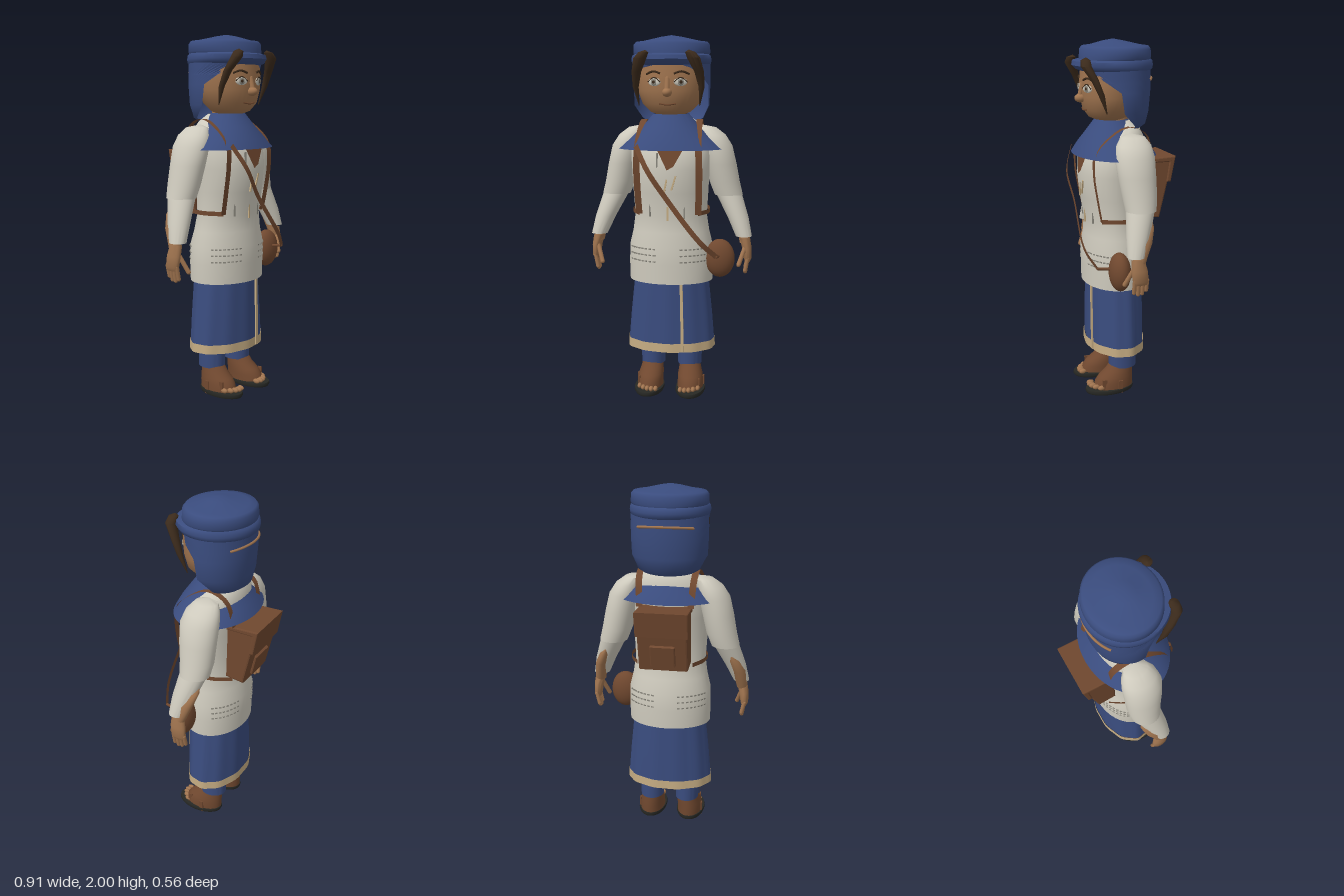
import * as THREE from 'three';
import { toCreasedNormals, mergeGeometries } from 'three/addons/utils/BufferGeometryUtils.js';

const mat = (name, color, side = THREE.FrontSide) => {
  const m = new THREE.MeshStandardMaterial({ color, side });
  m.name = name;
  return m;
};

// Surface through horizontal oval rings, bottom to top: [y, centreX, radiusX, zBack, zFront, frontGap?]
function loft(rings, { n = 36, side = 1, ripple = 0 } = {}) {
  const pos = [], idx = [], row = n + 1;
  rings.forEach(([y, cx, rx, zb, zf, gap = 0], i) => {
    for (let j = 0; j <= n; j++) {
      const t = gap + (j / n) * 2 * (Math.PI - gap);
      const k = 1 + ripple * Math.cos(t * 11);
      pos.push(cx * side + rx * k * Math.sin(t), y, (zf + zb) / 2 + (zf - zb) / 2 * k * Math.cos(t));
      if (i && j) {
        const a = (i - 1) * row + j - 1, d = i * row + j - 1;
        idx.push(a, a + 1, d + 1, a, d + 1, d);
      }
    }
  });
  const g = new THREE.BufferGeometry();
  g.setAttribute('position', new THREE.Float32BufferAttribute(pos, 3));
  g.setIndex(idx);
  return toCreasedNormals(g, 0.9);
}

// Flat strap along a curve; w is half of its width as a vector
function ribbon(points, w, n = 24) {
  const curve = new THREE.CatmullRomCurve3(points.map(p => new THREE.Vector3(...p)));
  const pos = [], idx = [];
  curve.getPoints(n).forEach((p, i) => {
    pos.push(p.x - w[0], p.y - w[1], p.z - w[2], p.x + w[0], p.y + w[1], p.z + w[2]);
    if (i) idx.push(2 * i - 2, 2 * i - 1, 2 * i + 1, 2 * i - 2, 2 * i + 1, 2 * i);
  });
  const g = new THREE.BufferGeometry();
  g.setAttribute('position', new THREE.Float32BufferAttribute(pos, 3));
  g.setIndex(idx);
  g.computeVertexNormals();
  return g;
}

function tube(points, r) {
  return new THREE.TubeGeometry(new THREE.CatmullRomCurve3(points.map(p => new THREE.Vector3(...p))), 20, r, 6);
}

// Capsule between two points
function rod(a, b, r) {
  const A = new THREE.Vector3(...a), d = new THREE.Vector3(...b).sub(A);
  const g = new THREE.CapsuleGeometry(r, d.length(), 4, 10);
  g.applyQuaternion(new THREE.Quaternion().setFromUnitVectors(new THREE.Vector3(0, 1, 0), d.clone().normalize()));
  return g.translate(...A.addScaledVector(d, 0.5).toArray());
}

function ball(x, y, z, rx, ry, rz) {
  return new THREE.SphereGeometry(1, 24, 16).scale(rx, ry, rz).translate(x, y, z);
}

// Side profile of [distance behind, height], extruded across the width
function slab(profile, width, bevel) {
  const g = new THREE.ExtrudeGeometry(new THREE.Shape(profile.map(p => new THREE.Vector2(...p))), {
    depth: width - 2 * bevel, bevelSize: bevel, bevelThickness: bevel, bevelSegments: 2,
  });
  return g.translate(0, 0, bevel - width / 2).rotateY(Math.PI / 2);
}

export function createModel() {
  const root = new THREE.Group();
  const D = THREE.DoubleSide;
  const blue = mat('blue cloth', 0x3a4c7e, D), cream = mat('cream cloth', 0xcecabd, D);
  const brown = mat('brown leather', 0x70482f, D), tan = mat('tan trim', 0xc4ab82, D);
  const skin = mat('skin', 0xa0744f), hair = mat('dark brown hair', 0x3b2a1b);
  const black = mat('black sole', 0x272824), grey = mat('grey stitching', 0x8b887e);
  const add = (name, geo, m, parent = root) => {
    const mesh = new THREE.Mesh(geo, m);
    mesh.name = name;
    parent.add(mesh);
    return mesh;
  };

  // Skirt with hem and front slit trim
  add('skirt', loft([[0.295, 0, 0.245, -0.123, 0.197], [0.45, 0, 0.232, -0.122, 0.195], [0.68, 0, 0.208, -0.118, 0.192]],
    { n: 88, ripple: 0.012 }), blue);
  add('skirtHem', loft([[0.25, 0, 0.25, -0.128, 0.202], [0.3, 0, 0.248, -0.127, 0.201]], { n: 88, ripple: 0.012 }), tan);
  add('slitTrim', new THREE.BoxGeometry(0.016, 0.39, 0.009).rotateZ(0.02).translate(0.078, 0.45, 0.196), tan);

  // Tunic
  add('tunic', loft([[0.645, 0, 0.19, -0.1, 0.18], [0.645, 0, 0.235, -0.137, 0.215], [0.75, 0, 0.238, -0.14, 0.216],
    [0.85, 0, 0.234, -0.138, 0.218], [0.93, 0, 0.215, -0.115, 0.203], [1.02, 0, 0.202, -0.097, 0.198],
    [1.15, 0, 0.21, -0.1, 0.22], [1.28, 0, 0.217, -0.11, 0.235], [1.4, 0, 0.228, -0.125, 0.215],
    [1.48, 0, 0.205, -0.125, 0.15], [1.53, 0, 0.145, -0.105, 0.09], [1.57, 0, 0.085, -0.07, 0.07]]), cream);
  const dots = [];
  for (const y of [0.77, 0.805, 0.84])
    for (const mid of [0, Math.PI])
      for (const s of [-1, 1])
        for (let k = 0; k < 8; k++) {
          const t = mid + s * (0.32 + k * 0.11);
          dots.push(new THREE.BoxGeometry(0.014, 0.007, 0.006).rotateY(t)
            .translate(0.237 * Math.sin(t), y, 0.039 + 0.178 * Math.cos(t)));
        }
  add('tunicStitching', mergeGeometries(dots), grey);
  const neckline = add('neckline', new THREE.ShapeGeometry(new THREE.Shape([
    new THREE.Vector2(-0.06, 0.12), new THREE.Vector2(0, 0), new THREE.Vector2(0.035, 0.02), new THREE.Vector2(0.09, 0.12)])), brown);
  neckline.position.set(0, 1.28, 0.241);
  neckline.rotation.x = -0.17;
  for (const [x, y, z, tilt, m] of [[0.035, 1.21, 0.227, -0.3, tan], [0, 1.04, 0.203, 0, tan], [-0.01, 1.19, 0.226, -0.2, tan],
    [-0.055, 1.33, 0.222, 0, grey], [0.09, 1.05, 0.186, 0, grey], [-0.1, 1.06, 0.184, 0, grey]])
    add('tunicPin', new THREE.BoxGeometry(0.009, 0.08, 0.009).rotateZ(tilt).translate(x, y, z), m);

  // Shoulder cape
  add('cape', loft([[1.385, 0, 0.3, -0.19, 0.26], [1.44, 0, 0.235, -0.155, 0.232], [1.5, 0, 0.165, -0.105, 0.19],
    [1.575, 0, 0.1, -0.04, 0.135]], { n: 48 }), blue);

  // Head and face
  add('neck', loft([[1.48, 0, 0.07, -0.05, 0.09], [1.63, 0, 0.07, -0.05, 0.1]]), skin);
  add('head', loft([[1.56, 0, 0, 0.06, 0.06], [1.567, 0, 0.06, 0, 0.12], [1.587, 0, 0.11, -0.04, 0.17],
    [1.63, 0, 0.155, -0.08, 0.202], [1.7, 0, 0.18, -0.1, 0.215], [1.78, 0, 0.185, -0.1, 0.217], [1.9, 0, 0.175, -0.1, 0.205]]), skin);
  add('nose', ball(0, 1.692, 0.22, 0.026, 0.024, 0.034), skin);
  add('noseBridge', rod([0, 1.70, 0.225], [0, 1.765, 0.208], 0.014), skin);
  add('mouth', tube([[-0.045, 1.633, 0.197], [0, 1.627, 0.205], [0.045, 1.633, 0.197]], 0.004), brown);

  // Hood and cap
  add('hood', loft([[1.52, 0, 0.13, -0.1, 0.1, 2.0], [1.55, 0, 0.175, -0.14, 0.15, 1.8], [1.62, 0, 0.208, -0.155, 0.19, 1.42],
    [1.73, 0, 0.213, -0.165, 0.2, 1.33], [1.78, 0, 0.214, -0.165, 0.205, 0.95], [1.84, 0, 0.214, -0.165, 0.215, 0.35],
    [1.88, 0, 0.21, -0.165, 0.215, 0.05]], { n: 40 }), blue);
  add('cap', loft([[1.835, 0, 0.2, -0.165, 0.212], [1.845, 0, 0.215, -0.177, 0.24], [1.865, 0, 0.22, -0.181, 0.26],
    [1.888, 0, 0.216, -0.177, 0.255], [1.896, 0, 0.207, -0.166, 0.218], [1.905, 0, 0.212, -0.168, 0.216], [1.948, 0, 0.21, -0.166, 0.213],
    [1.963, 0, 0.198, -0.155, 0.2], [1.968, 0, 0.16, -0.118, 0.162], [1.99, 0, 0.06, -0.02, 0.09], [2, 0, 0, 0.035, 0.035]], { n: 48 }), blue);
  const band = [];
  for (let k = -4; k <= 4; k++) {
    const t = Math.PI + k * 0.19;
    band.push([0.217 * Math.sin(t), 1.797 - 0.0006 * k * k, 0.02 + 0.189 * Math.cos(t)]);
  }
  add('hoodCord', tube(band, 0.007), skin);

  // Paired parts
  for (const s of [-1, 1]) {
    const side = s > 0 ? 'left' : 'right';
    const eye = new THREE.Group();
    eye.name = side + 'Eye';
    eye.position.set(0.07 * s, 1.747, 0.204);
    eye.rotation.y = 0.34 * s;
    root.add(eye);
    add('eyeWhite', ball(0, 0, 0, 0.037, 0.022, 0.009), cream, eye);
    add('iris', ball(0, 0, 0.006, 0.018, 0.018, 0.0045), grey, eye);
    add('pupil', ball(0, 0, 0.009, 0.009, 0.009, 0.003), hair, eye);
    add('upperLid', tube([[-0.037, 0, 0.003], [0, 0.023, 0.004], [0.037, 0, 0.003]], 0.0035), hair, eye);
    add(side + 'Eyebrow', tube([[0.035 * s, 1.79, 0.215], [0.075 * s, 1.802, 0.204], [0.115 * s, 1.788, 0.183]], 0.006), hair);
    add(side + 'HairLock', loft([[1.62, 0.165, 0.002, 0.125, 0.13], [1.72, 0.178, 0.016, 0.145, 0.178], [1.8, 0.168, 0.026, 0.175, 0.215],
      [1.87, 0.142, 0.035, 0.205, 0.262], [1.9, 0.124, 0.027, 0.205, 0.255], [1.913, 0.115, 0, 0.225, 0.225]], { n: 14, side: s }), hair);

    // Sleeves, forearm and hand
    add(side + 'UpperSleeve', loft([[1.125, 0.32, 0.066, -0.07, 0.065], [1.125, 0.32, 0.079, -0.088, 0.08], [1.2, 0.296, 0.085, -0.1, 0.09],
      [1.3, 0.275, 0.087, -0.103, 0.105], [1.4, 0.25, 0.088, -0.105, 0.113], [1.46, 0.224, 0.075, -0.095, 0.095],
      [1.5, 0.195, 0.05, -0.07, 0.06], [1.515, 0.17, 0, 0, 0]], { side: s }), cream);
    add(side + 'LowerSleeve', loft([[0.9, 0.41, 0.045, 0.01, 0.105], [1.0, 0.377, 0.058, -0.03, 0.098], [1.135, 0.32, 0.073, -0.08, 0.078]],
      { side: s }), cream);
    add(side + 'Forearm', loft([[0.86, 0.417, 0.03, 0.01, 0.08], [0.97, 0.4, 0.035, -0.036, 0.06], [1.04, 0.372, 0.03, -0.058, 0.03],
      [1.08, 0.355, 0.005, -0.055, -0.03]], { n: 20, side: s }), skin);
    add(side + 'Palm', loft([[0.75, 0.432, 0.012, 0, 0.075], [0.77, 0.433, 0.022, -0.006, 0.084], [0.83, 0.428, 0.027, 0, 0.09],
      [0.89, 0.415, 0.03, 0.015, 0.085]], { n: 20, side: s }), skin);
    [0.004, 0.027, 0.05, 0.073].forEach((z, i) =>
      add(side + 'Finger', rod([0.434 * s, 0.775, z], [0.42 * s, [0.715, 0.698, 0.695, 0.706][i], z], 0.0115), skin));
    add(side + 'Thumb', rod([0.415 * s, 0.83, 0.075], [0.385 * s, 0.745, 0.112], 0.0125), skin);

    // Leg, shoe and sandal
    add(side + 'TrouserLeg', loft([[0.14, 0.106, 0.058, -0.05, 0.085], [0.14, 0.106, 0.068, -0.06, 0.1], [0.42, 0.108, 0.073, -0.06, 0.11]],
      { side: s }), blue);
    add(side + 'Shoe', loft([[0.02, 0.116, 0.074, -0.035, 0.2], [0.06, 0.116, 0.073, -0.037, 0.19], [0.09, 0.113, 0.07, -0.037, 0.165],
      [0.12, 0.11, 0.063, -0.037, 0.125], [0.17, 0.107, 0.055, -0.035, 0.085]], { side: s }), brown);
    add(side + 'Sole', loft([[0, 0.118, 0, 0.1, 0.1], [0, 0.118, 0.08, -0.035, 0.243], [0.012, 0.118, 0.085, -0.04, 0.25],
      [0.024, 0.118, 0.083, -0.039, 0.247], [0.024, 0.118, 0, 0.1, 0.1]], { side: s }), black);
    for (let k = 0; k < 5; k++)
      add(side + 'Toe', ball((0.07 + k * 0.024) * s, 0.037, 0.212 - 0.006 * (k - 1) ** 2 * 0.8, 0.0125, 0.014, 0.022), skin);
    for (const [z, r, h] of [[0.15, 0.077, 0.085], [0.06, 0.08, 0.075]])
      add(side + 'SandalStrap', new THREE.BoxGeometry(0.008, h, 0.026).translate((0.116 + (z > 0.1 ? r - 0.022 : r - 0.006)) * s, h / 2, z), brown);

    // Backpack straps
    add(side + 'ShoulderStrap', ribbon([[0.14 * s, 1.36, -0.14], [0.15 * s, 1.5, -0.1], [0.155 * s, 1.545, 0.0], [0.16 * s, 1.49, 0.12],
      [0.165 * s, 1.41, 0.195], [0.17 * s, 1.3, 0.205], [0.168 * s, 1.15, 0.183], [0.163 * s, 1.03, 0.16]], [0.018, 0, 0]), brown);
    add(side + 'LowerStrap', ribbon([[0.163 * s, 1.035, 0.16], [0.213 * s, 1.037, 0.06], [0.205 * s, 1.04, -0.05], [0.155 * s, 1.04, -0.14]],
      [0, 0.012, 0]), brown);
  }

  // Backpack with flap and pocket
  add('backpack', slab([[0.095, 1.04], [0.185, 1.03], [0.262, 1.35], [0.105, 1.35]], 0.275, 0.01), brown);
  add('backpackFlap', slab([[0.1, 1.352], [0.276, 1.36], [0.25, 1.23], [0.238, 1.23], [0.255, 1.342], [0.1, 1.342]], 0.292, 0.007), brown);
  add('backpackPocket', slab([[0.185, 1.06], [0.208, 1.055], [0.232, 1.16], [0.21, 1.175]], 0.14, 0.008), brown);

  // Round side bag and its strap
  add('sideBag', ball(0.28, 0.78, 0.1, 0.083, 0.108, 0.058), brown);
  add('sideBagStrap', ribbon([[-0.17, 1.41, 0.225], [-0.1, 1.28, 0.275], [0, 1.13, 0.265], [0.18, 0.9, 0.268], [0.27, 0.81, 0.225]],
    [0.011, 0.009, 0]), brown);
  add('sideBagKnot', rod([0.27, 0.81, 0.222], [0.275, 0.8, 0.15], 0.008), brown);

  return root;
}
